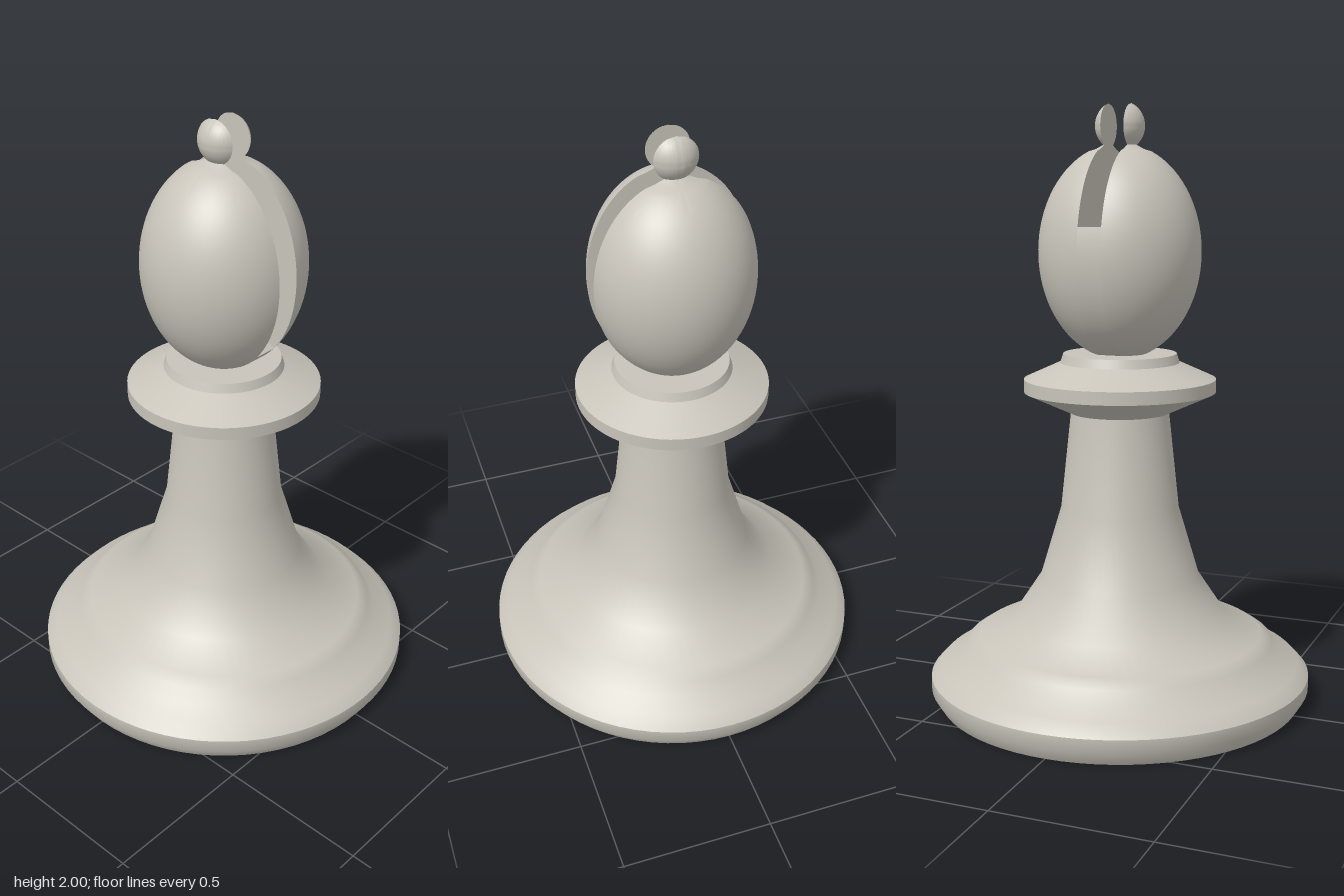
import * as THREE from 'three';
import { mergeGeometries, toCreasedNormals } from 'three/addons/utils/BufferGeometryUtils.js';

const HALF_SLOT = 0.04;
const HEAD = { y: 1.52, rx: 0.27, ry: 0.355 };
const KNOB = { y: 1.93, r: 0.082 };

// Lathe made of separate profile runs: smooth inside a run, sharp between runs
function turned(runs) {
  return mergeGeometries(runs.map(run =>
    new THREE.LatheGeometry(run.map(([r, y]) => new THREE.Vector2(r, y)), 72)));
}

function headRadius(y) {
  const k = (y - HEAD.y) / HEAD.ry;
  return HEAD.rx * Math.sqrt(Math.max(0, 1 - k * k));
}

// One side of a turned shape, cut flat at z = HALF_SLOT
function cutHalf(profile) {
  const n = 40, pos = [], index = [];
  for (const [r, y] of profile) {
    const a = Math.asin(Math.min(1, HALF_SLOT / r));
    for (let i = 0; i <= n; i++) {
      const t = a + (Math.PI - 2 * a) * i / n;
      pos.push(r * Math.cos(t), y, r * Math.sin(t));
    }
  }
  const row = n + 1;
  for (let j = 0; j < profile.length - 1; j++) {
    const a = j * row, b = a + row;
    for (let i = 0; i < n; i++) {
      index.push(a + i, b + i, a + i + 1, a + i + 1, b + i, b + i + 1);
    }
    index.push(a, a + n, b, b, a + n, b + n); // flat slot wall
  }
  const g = new THREE.BufferGeometry();
  g.setAttribute('position', new THREE.Float32BufferAttribute(pos, 3));
  g.setIndex(index);
  return toCreasedNormals(g, 0.6);
}

export function createModel() {
  const model = new THREE.Group();
  model.name = 'chessPiece';
  const stone = new THREE.MeshStandardMaterial({ color: 0xc8c4ba });
  stone.name = 'warm grey';
  const add = (name, geometry) => {
    const mesh = new THREE.Mesh(geometry, stone);
    mesh.name = name;
    model.add(mesh);
    return mesh;
  };

  // Foot and stem
  add('foot', turned([
    [[0, 0], [0.62, 0]],
    [[0.62, 0], [0.648, 0.045], [0.648, 0.09]],
  ]));
  add('stem', turned([[
    [0.648, 0.09], [0.61, 0.13], [0.55, 0.157], [0.523, 0.2], [0.485, 0.225],
    [0.365, 0.282], [0.27, 0.425], [0.2, 0.66], [0.165, 0.99],
  ]]));

  // Collar under the head
  add('collar', turned([
    [[0.165, 0.985], [0.322, 1.057]],
    [[0.322, 1.057], [0.322, 1.1]],
    [[0.322, 1.1], [0.2, 1.155]],
    [[0.2, 1.155], [0.19, 1.185]],
    [[0.19, 1.185], [0, 1.185]],
  ]));

  // Head, neck and knob profile, from the collar up
  const profile = [];
  for (let i = 0; i <= 36; i++) {
    const y = HEAD.y - HEAD.ry * Math.cos(Math.PI * (0.1 + 0.775 * i / 36));
    profile.push([headRadius(y), y]);
  }
  profile.push([0.078, 1.856], [0.055, 1.869]);
  const end = Math.PI - Math.asin(HALF_SLOT / KNOB.r);
  for (let i = 0; i <= 16; i++) {
    const t = 0.74 + (end - 0.74) * i / 16;
    profile.push([KNOB.r * Math.sin(t), KNOB.y - KNOB.r * Math.cos(t)]);
  }
  const half = cutHalf(profile);
  add('frontHeadHalf', half);
  add('backHeadHalf', half).rotation.y = Math.PI;

  // Core between the halves, with the slanted slot floor on top
  const shape = new THREE.Shape();
  const edge = y => Math.sqrt(headRadius(y) ** 2 - HALF_SLOT ** 2);
  const low = 1.183, right = 1.26, left = 1.61, steps = 24;
  for (let i = 0; i <= steps; i++) {
    const y = left + (low - left) * i / steps;
    if (i) shape.lineTo(-edge(y), y); else shape.moveTo(-edge(y), y);
  }
  for (let i = 0; i <= 8; i++) {
    const y = low + (right - low) * i / 8;
    shape.lineTo(edge(y), y);
  }
  shape.closePath();
  const core = new THREE.ExtrudeGeometry(shape, { depth: 2 * HALF_SLOT, bevelEnabled: false });
  core.translate(0, 0, -HALF_SLOT);
  add('slotFloor', toCreasedNormals(core, 0.5));

  return model;
}
